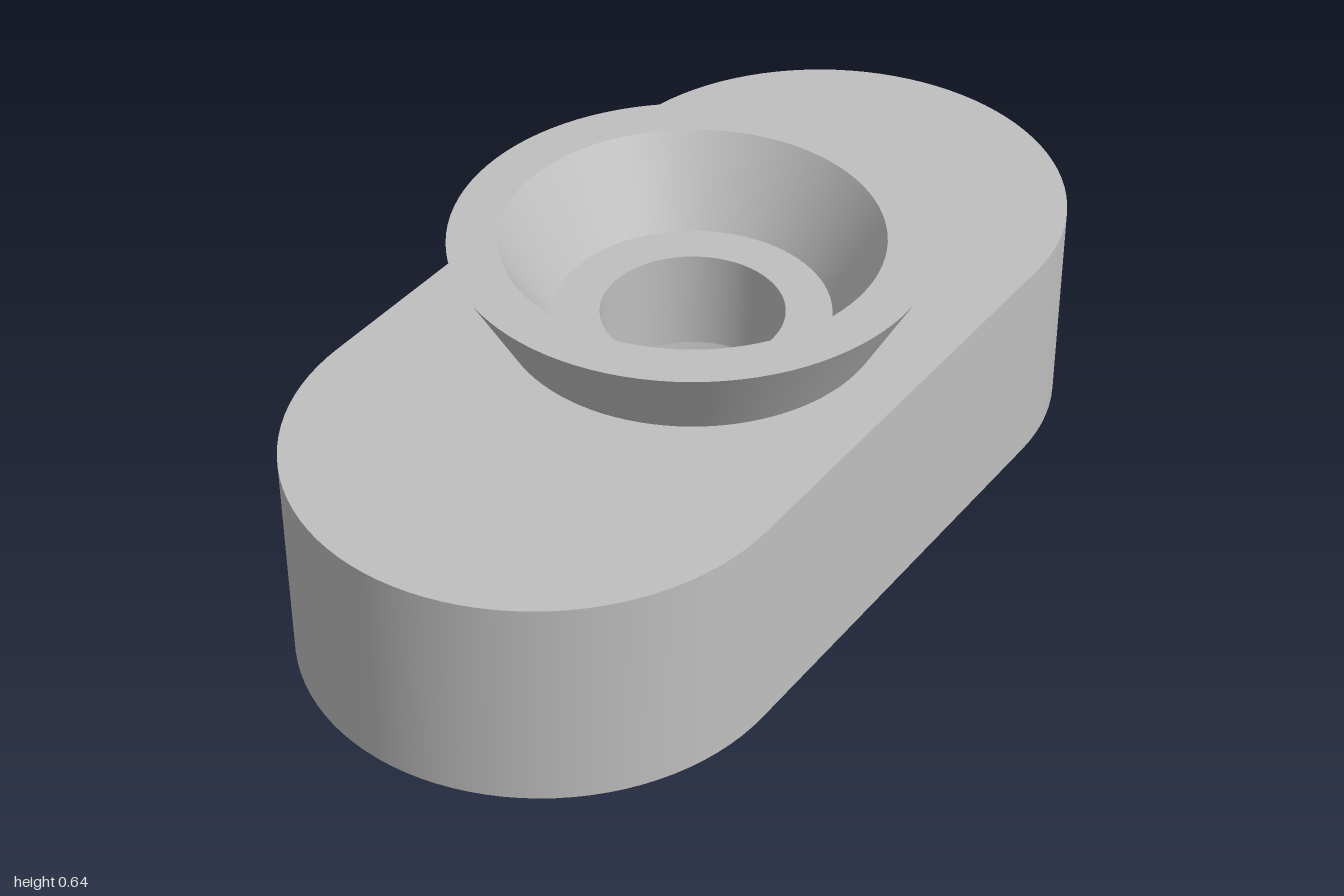
import * as THREE from 'three';
import { mergeGeometries } from 'three/addons/utils/BufferGeometryUtils.js';

const HALF = 48; // segments per half turn

// Points of a slot outline: radius r, half straight length s (0 = circle), height y
function ring([r, s, y]) {
  const points = [];
  for (const side of [1, -1]) {
    for (let i = 0; i <= HALF; i++) {
      const t = (i / HALF) * Math.PI + (side > 0 ? 0 : Math.PI);
      points.push(r * Math.cos(t), y, r * Math.sin(t) + side * s);
    }
  }
  return points;
}

// One smooth band between two outlines; separate bands keep the edges sharp
function band(a, b) {
  const n = 2 * (HALF + 1);
  const index = [];
  for (let i = 0; i < n; i++) {
    const j = (i + 1) % n;
    index.push(i, n + i, j, j, n + i, n + j);
  }
  const geometry = new THREE.BufferGeometry();
  geometry.setAttribute('position', new THREE.Float32BufferAttribute([...ring(a), ...ring(b)], 3));
  geometry.setIndex(index);
  geometry.computeVertexNormals();
  return geometry;
}

function loft(name, profile, material) {
  const bands = profile.slice(1).map((p, i) => band(profile[i], p));
  const mesh = new THREE.Mesh(mergeGeometries(bands), material);
  mesh.name = name;
  return mesh;
}

export function createModel() {
  const grey = new THREE.MeshStandardMaterial({ color: 0xbfbfbf });
  grey.name = 'grey';
  const group = new THREE.Group();
  group.name = 'slottedMount';

  // Rounded block with a slot recessed into its underside
  group.add(loft('baseBlock', [
    [0.185, 0, 0.24],
    [0.286, 0.23, 0.24],
    [0.286, 0.23, 0],
    [0.5, 0.5, 0],
    [0.5, 0.5, 0.455],
    [0.381, 0, 0.455],
  ], grey));

  // Flared cup with a flat floor and a through hole
  group.add(loft('flaredCup', [
    [0.381, 0, 0.455],
    [0.482, 0, 0.636],
    [0.381, 0, 0.636],
    [0.278, 0, 0.455],
    [0.185, 0, 0.455],
    [0.185, 0, 0.24],
  ], grey));

  return group;
}
